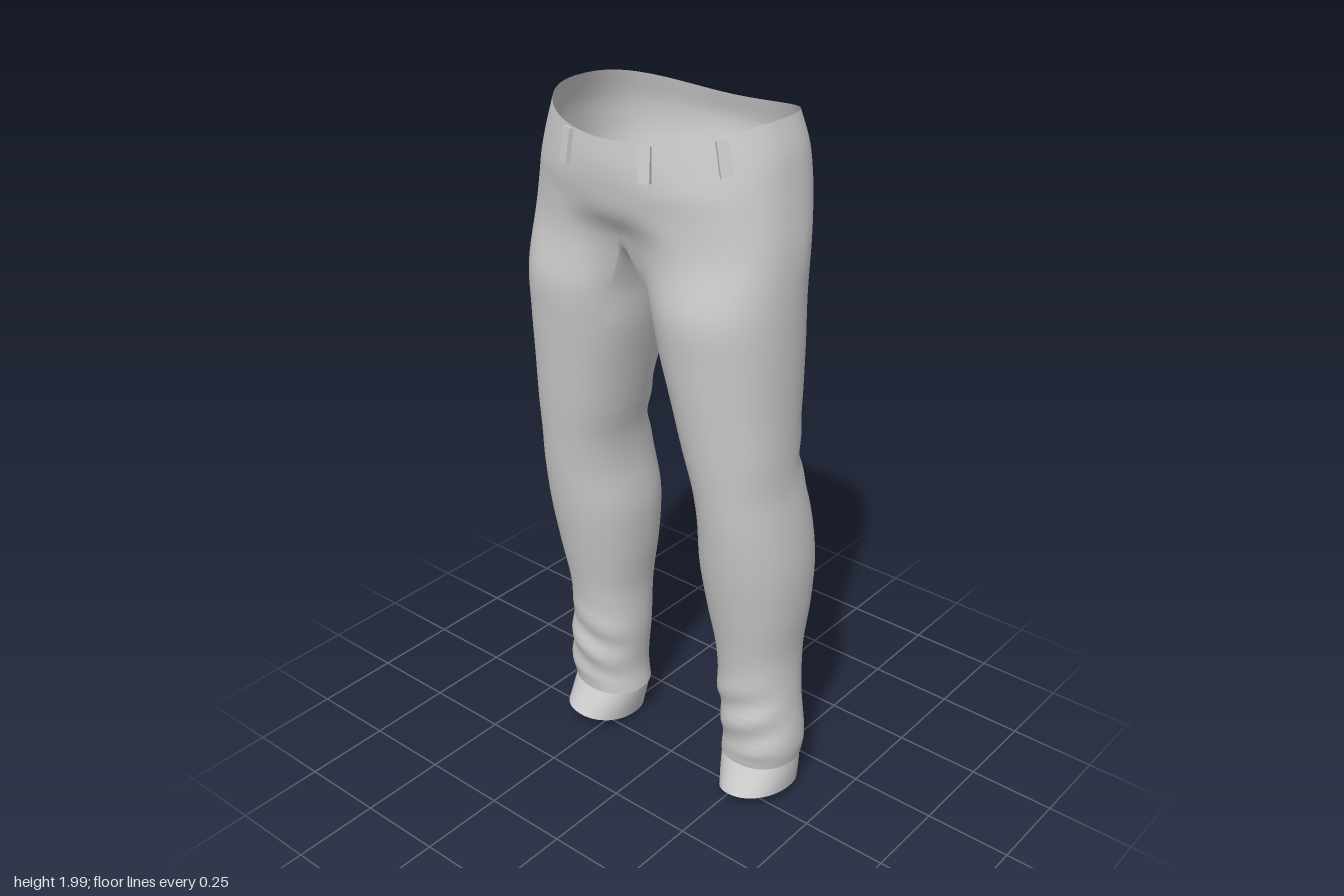
import * as THREE from 'three';
import { mergeGeometries, mergeVertices } from 'three/addons/utils/BufferGeometryUtils.js';

const OUTER = 36, INNER = 16, STEPS = 6;
const SPLIT = THREE.MathUtils.degToRad(140); // where the rise seams meet the leg ring

// Leg rings: y, inner x, outer x, front z, back z, lift at the front, lift at the outside
const CUFF = [
  [0.035, 0.2, 0.393, 0.09, -0.172, 0.024, 0.014],
  [0.09, 0.183, 0.397, 0.062, -0.171, 0.012, 0.006],
  [0.145, 0.172, 0.396, 0.036, -0.17, 0, 0.004],
];
const LEG = [
  [0.135, 0.17, 0.4, 0.042, -0.172, 0, 0.008],
  [0.2, 0.178, 0.409, 0.05, -0.175, 0, 0],
  [0.35, 0.165, 0.393, 0.06, -0.176, 0, 0],
  [0.5, 0.163, 0.387, 0.072, -0.186, 0, 0],
  [0.65, 0.142, 0.405, 0.102, -0.201, 0, 0],
  [0.8, 0.131, 0.414, 0.133, -0.205, 0, 0],
  [0.95, 0.143, 0.404, 0.158, -0.181, 0, 0],
  [1.05, 0.138, 0.393, 0.172, -0.154, 0, 0],
  [1.15, 0.115, 0.391, 0.186, -0.142, 0, 0],
  [1.28, 0.084, 0.389, 0.202, -0.157, 0, 0],
  [1.42, 0.048, 0.389, 0.218, -0.17, 0, 0],
  [1.55, 0.02, 0.387, 0.228, -0.178, 0, 0],
];
// Hip half rings: y, side x, front z, back z, centre front z, centre back z, sag, front power
const HIP = [
  [1.7, 0.38, 0.23, -0.212, 0.195, -0.185, 0, 2.5],
  [1.78, 0.369, 0.238, -0.238, 0.238, -0.224, 0.005, 2.3],
  [1.85, 0.357, 0.251, -0.252, 0.251, -0.246, 0.012, 2.15],
  [1.92, 0.343, 0.255, -0.254, 0.255, -0.254, 0.027, 2],
  [2.0, 0.315, 0.25, -0.242, 0.25, -0.242, 0.043, 2],
];
const WAIST_KEY = LEG.length + 3;

const spow = (v, p) => Math.sign(v) * Math.abs(v) ** p;
const bell = (d, w) => Math.exp(-((d / w) ** 2));

function legPoint([y, xi, xo, zf, zb, liftF, liftO], a) {
  const c = Math.cos(a), s = Math.sin(a), p = 2 / 2.15;
  return new THREE.Vector3(
    (xi + xo) / 2 + ((xo - xi) / 2) * spow(c, p),
    y + liftF * s + liftO * c,
    (zf + zb) / 2 + ((zf - zb) / 2) * spow(s, p));
}

function hipPoint([y, rx, zf, zb, cf, cb, sag, pow], a) {
  const front = Math.sin(a) >= 0, p = 2 / (front ? pow : 2.6);
  const x = rx * Math.max(0, Math.cos(a)) ** p;
  let z = (front ? zf : -zb) * spow(Math.sin(a), p);
  const dip = x < 0.2 ? 0.5 + 0.5 * Math.cos((Math.PI * x) / 0.2) : 0;
  z -= dip * (front ? zf - cf : zb - cb);
  return new THREE.Vector3(x, y - sag * (1 - (x / rx) ** 2), z);
}

// Soft cloth folds above the cuff and behind the knee
function addFolds(v) {
  const { x, y, z } = v;
  if (y < 0.17 || y > 1.45) return v;
  const front = THREE.MathUtils.smoothstep(z, -0.1, 0.05);
  const back = THREE.MathUtils.smoothstep(-z, 0, 0.12);
  const ankle = bell(y - 0.3, 0.1) * Math.sin((y - 0.45 * (x - 0.28)) * 50);
  const knee = bell(y - 1.12, 0.1) * Math.sin((y + 0.5 * (x - 0.26)) * 42);
  v.z += 0.009 * front * ankle - 0.008 * back * knee;
  return v;
}

// One column: a spline through the keys, sampled between two key numbers
function sampleColumn(keys, from, to) {
  const curve = new THREE.CatmullRomCurve3(keys, false, 'centripetal');
  const out = [];
  for (let i = from * STEPS; i <= to * STEPS; i++) {
    out.push(addFolds(curve.getPoint(i / STEPS / (keys.length - 1))));
  }
  return out;
}

function gridGeometry(columns) {
  const rows = columns[0].length, pos = [], idx = [];
  columns.forEach(col => col.forEach(v => pos.push(v.x, v.y, v.z)));
  for (let c = 0; c < columns.length - 1; c++) {
    for (let r = 0; r < rows - 1; r++) {
      const a = c * rows + r, b = a + rows;
      idx.push(a, b, b + 1, a, b + 1, a + 1);
    }
  }
  const g = new THREE.BufferGeometry();
  g.setAttribute('position', new THREE.Float32BufferAttribute(pos, 3));
  g.setIndex(idx);
  return g;
}

// Adds the mirror image and welds everything into one smooth surface
function mirrorAndWeld(parts) {
  const mirrored = parts.map(p => {
    const g = p.clone().scale(-1, 1, 1);
    g.setIndex(Array.from(p.index.array).reverse());
    return g;
  });
  const g = mergeVertices(mergeGeometries([...parts, ...mirrored]), 1e-4);
  g.computeVertexNormals();
  return g;
}

const range = (n, f) => Array.from({ length: n + 1 }, (_, i) => f(i / n));
const outerAngle = t => SPLIT - 2 * SPLIT * t;
const innerAngle = s => -SPLIT - (2 * Math.PI - 2 * SPLIT) * s;

export function createModel() {
  const group = new THREE.Group();
  const cloth = new THREE.MeshStandardMaterial({ color: 0xcccccc, roughness: 0.9, side: THREE.DoubleSide });
  const add = (name, geometry) => {
    const mesh = new THREE.Mesh(geometry, cloth);
    mesh.name = name;
    group.add(mesh);
    return mesh;
  };

  // Outer columns run from the hem up to the waist
  const outerKeys = range(OUTER, t => [
    ...LEG.map(k => legPoint(k, outerAngle(t))),
    ...HIP.map(k => hipPoint(k, Math.PI * (0.5 - t))),
  ]);
  // Inner columns run from the hem to the crotch curve and level out across the middle
  const innerKeys = range(INNER, s => {
    const keys = LEG.map(k => legPoint(k, innerAngle(s)));
    const [y, , , , cf, cb] = HIP[0];
    const a = Math.PI * s;
    const z = (cf + cb) / 2 - ((cf - cb) / 2) * Math.cos(a);
    const last = keys[keys.length - 1];
    return [...keys, new THREE.Vector3(0, y - 0.09 * Math.sin(a), z),
      new THREE.Vector3(-last.x, last.y, last.z)];
  });

  // Legs and seat
  add('trouserBody', mirrorAndWeld([
    gridGeometry(outerKeys.map(k => sampleColumn(k, 0, WAIST_KEY))),
    gridGeometry(innerKeys.map(k => sampleColumn(k, 0, LEG.length))),
  ]));

  // Waistband
  add('waistband', mirrorAndWeld([
    gridGeometry(outerKeys.map(k => sampleColumn(k, WAIST_KEY, WAIST_KEY + 1))),
  ]));

  // Turned cuffs at the hems
  const cuffColumns = range(OUTER + INNER, t => {
    const a = Math.PI - 2 * Math.PI * t;
    return sampleColumn(CUFF.map(k => legPoint(k, a)), 0, CUFF.length - 1);
  });
  add('cuffs', mirrorAndWeld([gridGeometry(cuffColumns)]));

  // Belt loops: x, y, z, yaw, roll
  const loops = [
    [-0.122, 1.915, 0.241, -0.3, -0.03],
    [0.122, 1.915, 0.241, 0.3, 0.03],
    [0.283, 1.94, 0.152, 0.95, 0.1],
  ];
  for (const [x, y, z, yaw, roll] of loops) {
    const loop = add('beltLoop', new THREE.BoxGeometry(0.03, 0.085, 0.012));
    loop.position.set(x, y, z);
    loop.rotation.set(-0.12 - 0.25 * Math.abs(x), yaw, roll, 'YXZ');
  }
  return group;
}
